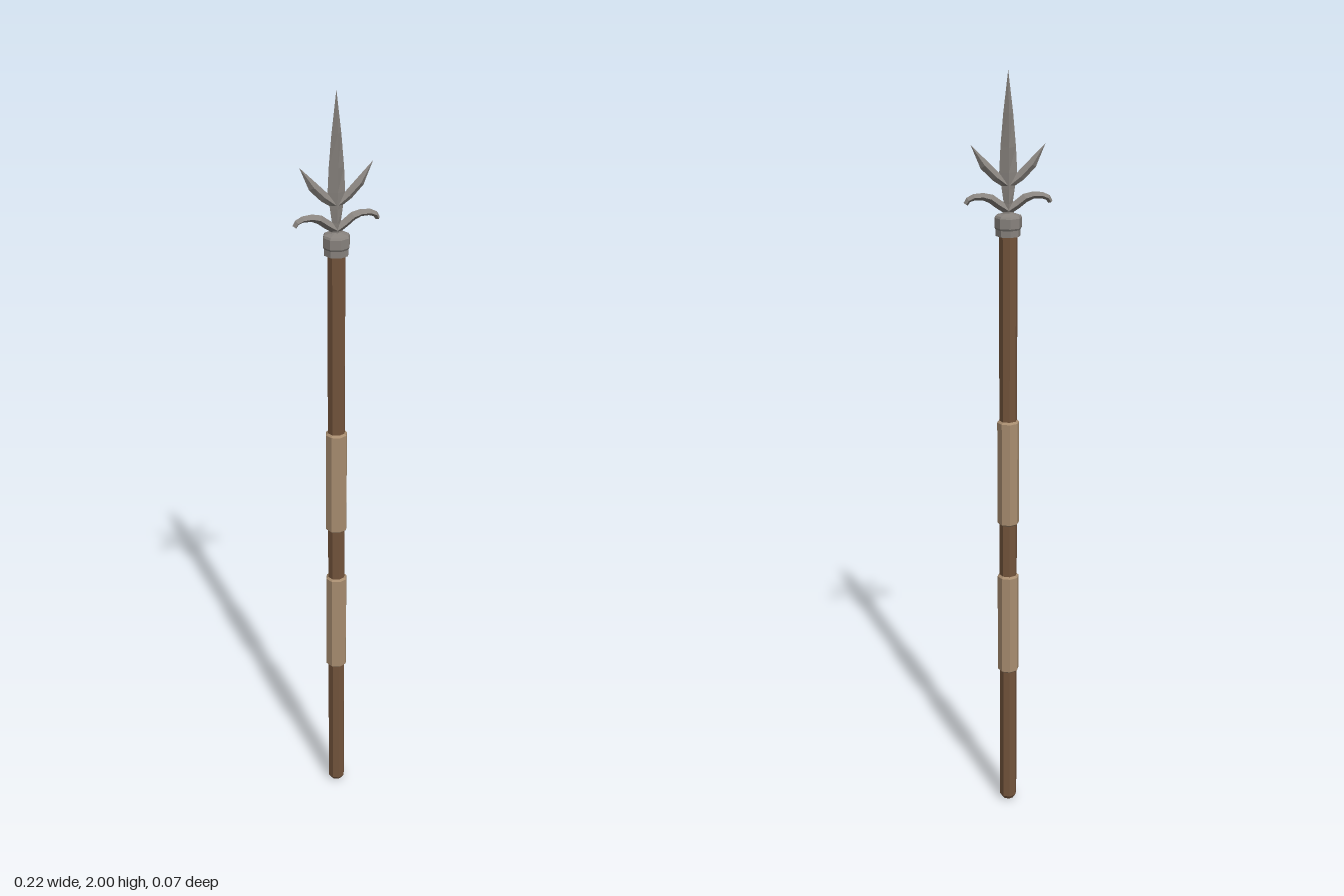
import * as THREE from 'three';

const wood = new THREE.MeshStandardMaterial({ color: 0x73543c, flatShading: true });
wood.name = 'dark wood';
const leather = new THREE.MeshStandardMaterial({ color: 0xa88d70, flatShading: true });
leather.name = 'tan leather';
const steel = new THREE.MeshStandardMaterial({ color: 0x88837e, flatShading: true });
steel.name = 'grey steel';

// Eight-sided turned part from [radius, y] pairs, bottom to top
function turned(name, material, profile) {
  const points = profile.map(([r, y]) => new THREE.Vector2(r, y));
  const mesh = new THREE.Mesh(new THREE.LatheGeometry(points, 8), material);
  mesh.name = name;
  return mesh;
}

// Diamond-section blade along stations [x, y, halfWidth, halfDepth]
function blade(name, stations) {
  const positions = [];
  const index = [];
  const last = stations.length - 1;
  stations.forEach(([x, y, w, d], i) => {
    const a = stations[Math.max(i - 1, 0)];
    const b = stations[Math.min(i + 1, last)];
    const length = Math.hypot(b[0] - a[0], b[1] - a[1]);
    const nx = (b[1] - a[1]) / length;
    const ny = -(b[0] - a[0]) / length;
    positions.push(x + nx * w, y + ny * w, 0, x, y, d);
    positions.push(x - nx * w, y - ny * w, 0, x, y, -d);
  });
  for (let i = 0; i < last; i++) {
    for (let k = 0; k < 4; k++) {
      const a = i * 4 + k;
      const b = i * 4 + ((k + 1) % 4);
      index.push(a, a + 4, b, b, a + 4, b + 4);
    }
  }
  // End caps
  const e = last * 4;
  index.push(0, 1, 2, 0, 2, 3, e, e + 2, e + 1, e, e + 3, e + 2);
  const geometry = new THREE.BufferGeometry();
  geometry.setAttribute('position', new THREE.Float32BufferAttribute(positions, 3));
  geometry.setIndex(index);
  const flat = geometry.toNonIndexed();
  flat.computeVertexNormals();
  const mesh = new THREE.Mesh(flat, steel);
  mesh.name = name;
  return mesh;
}

export function createModel() {
  const model = new THREE.Group();
  model.name = 'polearm';

  // Shaft with a chamfered butt
  model.add(turned('shaft', wood, [[0, 0], [0.016, 0.005], [0.023, 0.016], [0.023, 1.62]]));

  // Two wrapped grips
  [['lowerGrip', 0.408, 0.697], ['upperGrip', 0.84, 1.13]].forEach(([name, y0, y1]) => {
    model.add(turned(name, leather, [
      [0.022, y0], [0.0285, y0 + 0.006], [0.0285, y1 - 0.006], [0.022, y1],
    ]));
  });

  // Collar that seats the head
  model.add(turned('collar', steel, [
    [0.022, 1.604], [0.031, 1.606], [0.031, 1.622], [0.034, 1.627],
    [0.034, 1.651], [0.031, 1.656], [0, 1.664],
  ]));

  // Central spear point
  model.add(blade('spearPoint', [
    [0, 1.655, 0.015, 0.01], [0, 1.685, 0.011, 0.009], [0, 1.72, 0.016, 0.009],
    [0, 1.76, 0.022, 0.01], [0, 1.82, 0.019, 0.013], [0, 1.9, 0.012, 0.011], [0, 2, 0, 0],
  ]));

  // Side prongs and drooping hooks, turned about for the other side
  ['left', 'right'].forEach((side, i) => {
    const prong = blade(side + 'Prong', [
      [0, 1.727, 0.009, 0.008], [0.03, 1.75, 0.012, 0.009],
      [0.058, 1.778, 0.012, 0.01], [0.091, 1.827, 0, 0],
    ]);
    const hook = blade(side + 'Hook', [
      [0, 1.668, 0.011, 0.011], [0.022, 1.682, 0.011, 0.012], [0.042, 1.697, 0.011, 0.012],
      [0.062, 1.703, 0.009, 0.012], [0.084, 1.702, 0.008, 0.012],
      [0.098, 1.696, 0.007, 0.012], [0.104, 1.686, 0.006, 0.011],
    ]);
    [prong, hook].forEach((part) => {
      part.rotation.y = i * Math.PI;
      model.add(part);
    });
  });

  return model;
}
